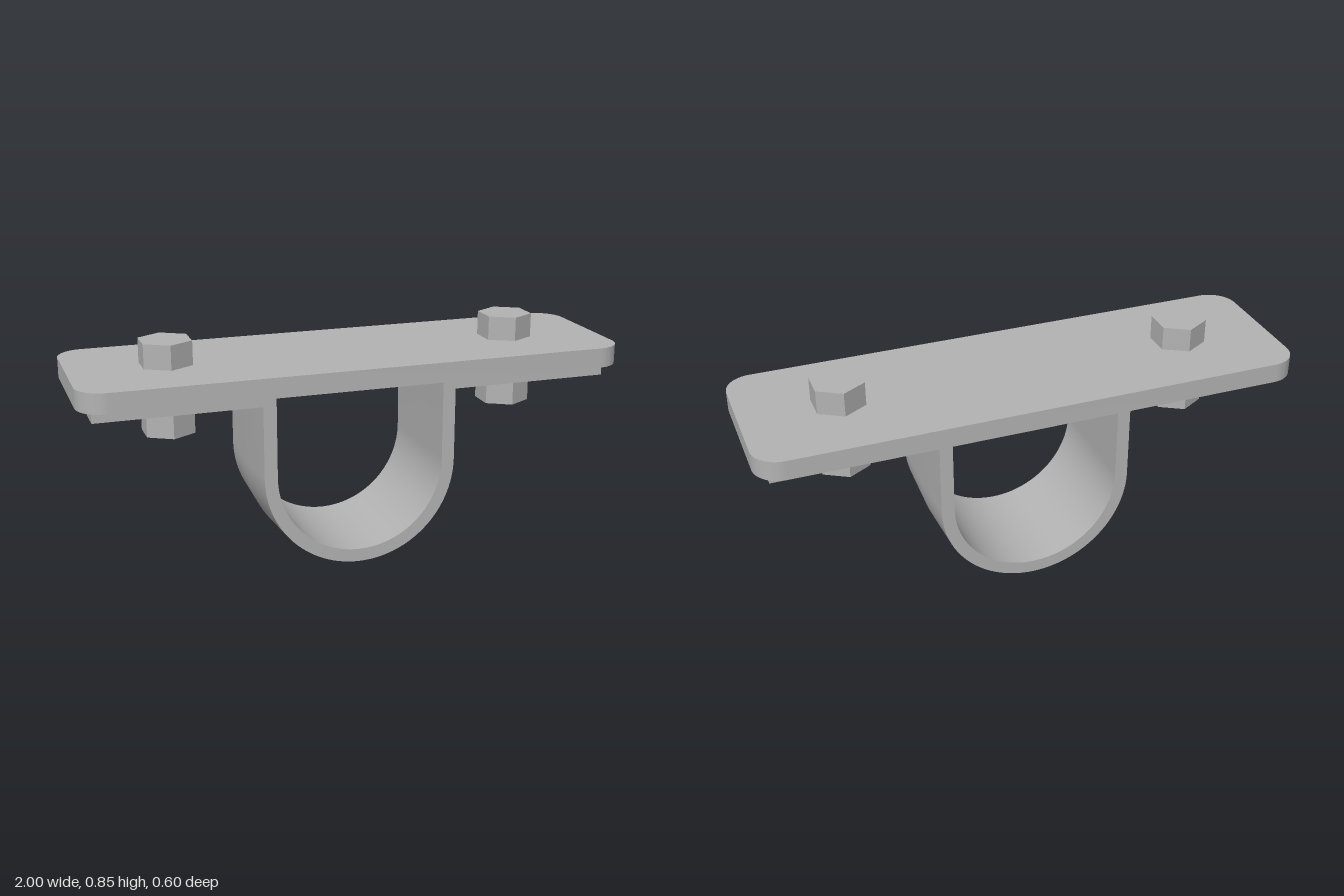
import * as THREE from 'three';
import { toCreasedNormals } from 'three/addons/utils/BufferGeometryUtils.js';

const steel = new THREE.MeshStandardMaterial({ color: 0xb3b3b3 });
steel.name = 'grey steel';

function addPart(parent, name, geometry, x = 0, y = 0) {
  const mesh = new THREE.Mesh(geometry, steel);
  mesh.name = name;
  mesh.position.set(x, y, 0);
  parent.add(mesh);
}

// Flat plate with rounded corners, standing on y = 0
function plateGeometry(w, d, h, r) {
  const x = w / 2, z = d / 2;
  const s = new THREE.Shape();
  s.moveTo(-x + r, -z);
  s.absarc(x - r, -z + r, r, -Math.PI / 2, 0, false);
  s.absarc(x - r, z - r, r, 0, Math.PI / 2, false);
  s.absarc(-x + r, z - r, r, Math.PI / 2, Math.PI, false);
  s.absarc(-x + r, -z + r, r, Math.PI, Math.PI * 1.5, false);
  const g = new THREE.ExtrudeGeometry(s, { depth: h, bevelEnabled: false, curveSegments: 10 });
  g.rotateX(-Math.PI / 2);
  return toCreasedNormals(g, 0.6);
}

// U-shaped strap with two flanges and a slight ridge around its outside
function strapGeometry() {
  const outer = 0.36, inner = 0.312, cy = 0.375;
  const top = 0.69, under = 0.64, end = 0.95, width = 0.45;
  const s = new THREE.Shape();
  s.moveTo(-end, top);
  s.lineTo(-end, under);
  s.lineTo(-outer, under);
  s.lineTo(-outer, cy);
  s.absarc(0, cy, outer, Math.PI, Math.PI * 2, false);
  s.lineTo(outer, under);
  s.lineTo(end, under);
  s.lineTo(end, top);
  s.lineTo(inner, top);
  s.lineTo(inner, cy);
  s.absarc(0, cy, inner, Math.PI * 2, Math.PI, true);
  s.lineTo(-inner, top);
  s.closePath();
  const g = new THREE.ExtrudeGeometry(s, { depth: width, steps: 2, bevelEnabled: false, curveSegments: 40 });
  g.translate(0, 0, -width / 2);

  // Push the middle of the outer surface outwards
  const p = g.attributes.position;
  for (let i = 0; i < p.count; i++) {
    const x = p.getX(i), y = p.getY(i);
    const dy = Math.min(y - cy, 0);
    const radius = Math.hypot(x, dy);
    if (Math.abs(p.getZ(i)) < 0.001 && radius > 0.34 && radius < 0.4) {
      p.setX(i, x * (1 + 0.008 / outer));
      p.setY(i, y + dy * (0.015 / outer));
    }
  }
  return toCreasedNormals(g, 0.5);
}

function hexGeometry(h) {
  return new THREE.CylinderGeometry(0.1, 0.1, h, 6).toNonIndexed();
}

export function createModel() {
  const model = new THREE.Group();
  model.name = 'pipe clamp';

  addPart(model, 'topPlate', plateGeometry(2, 0.6, 0.073, 0.1), 0, 0.69);
  addPart(model, 'strap', strapGeometry());

  // Bolt head, washer and nut on each side
  for (const side of [-1, 1]) {
    const bolt = new THREE.Group();
    bolt.name = side > 0 ? 'leftBolt' : 'rightBolt';
    bolt.position.x = side * 0.65;
    const head = hexGeometry(0.089), nut = hexGeometry(0.095);
    head.computeVertexNormals();
    nut.computeVertexNormals();
    addPart(bolt, 'boltHead', head, 0, 0.8075);
    addPart(bolt, 'washer', new THREE.CylinderGeometry(0.125, 0.125, 0.03, 40), 0, 0.625);
    addPart(bolt, 'nut', nut, 0, 0.5625);
    model.add(bolt);
  }
  return model;
}
